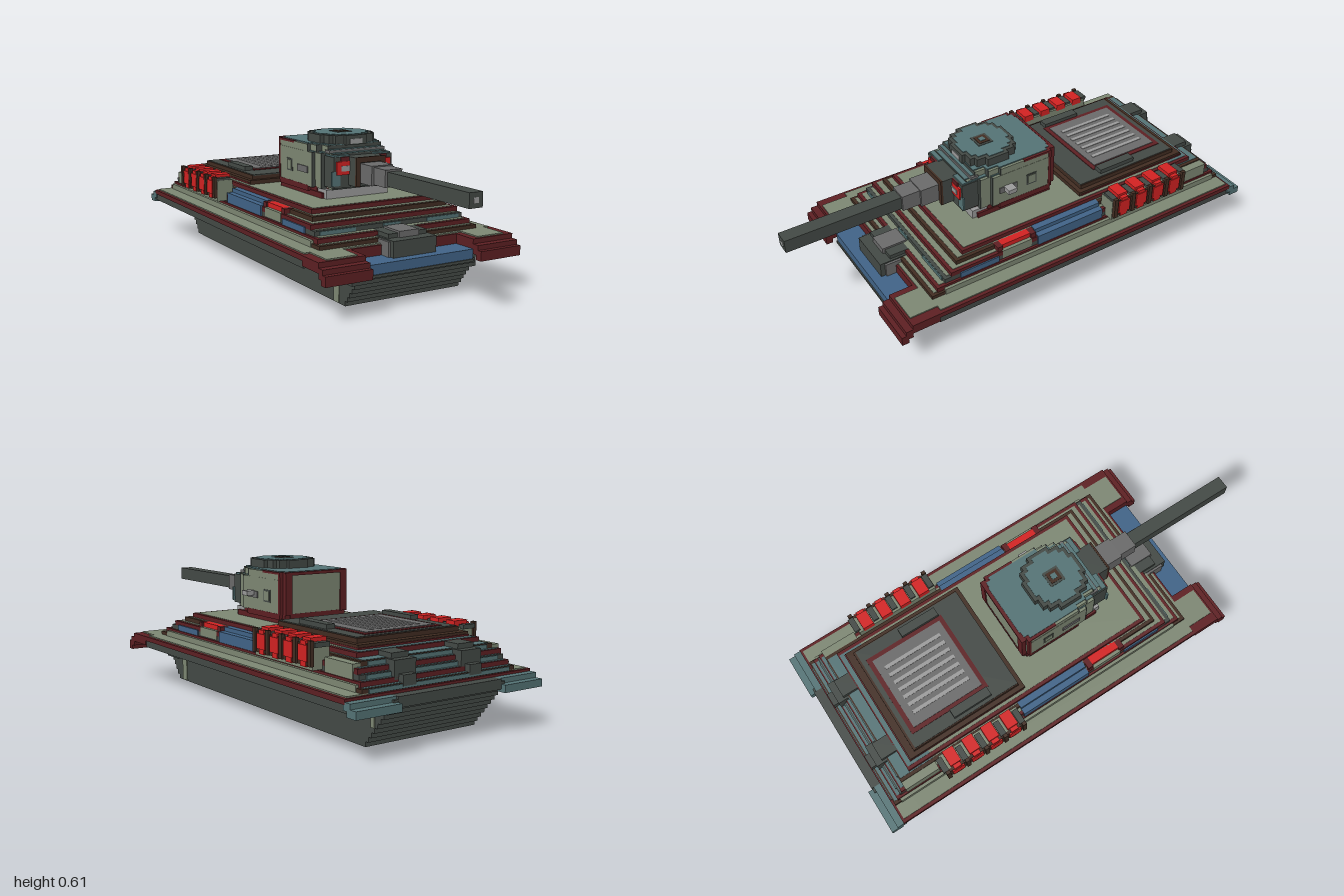
import * as THREE from 'three';

const mat = (name, color) => {
  const m = new THREE.MeshStandardMaterial({ color });
  m.name = name;
  return m;
};

export function createModel() {
  const model = new THREE.Group();
  model.name = 'tank';
  const maroon = mat('maroon', 0x5e2023), brown = mat('brown', 0x422d22);
  const dark = mat('darkGreenGrey', 0x444a46), khaki = mat('khaki', 0x7e8874);
  const teal = mat('teal', 0x557476), blue = mat('blue', 0x416488);
  const grey = mat('grey', 0x6b6b6b), pale = mat('paleGrey', 0x9c9c9c);
  const red = mat('brightRed', 0xd42222);

  let parent = model;
  const group = (name) => {
    parent = new THREE.Group();
    parent.name = name;
    model.add(parent);
  };
  // Box given by its limits on each axis
  const box = (name, m, x0, x1, y0, y1, z0, z1) => {
    const mesh = new THREE.Mesh(new THREE.BoxGeometry(x1 - x0, y1 - y0, z1 - z0), m);
    mesh.position.set((x0 + x1) / 2, (y0 + y1) / 2, (z0 + z1) / 2);
    mesh.name = name;
    parent.add(mesh);
  };
  const mid = (name, m, w, ...r) => box(name, m, -w, w, ...r);
  const pair = (name, m, x0, x1, ...r) => {
    box(name + 'Left', m, x0, x1, ...r);
    box(name + 'Right', m, -x1, -x0, ...r);
  };

  // Lower hull: stacked courses, flaring toward both ends
  group('lowerHull');
  mid('bellyPlate', pale, 0.265, -0.002, 0, -0.82, 0.57);
  for (let i = 0; i < 10; i++) {
    const y = i * 0.02;
    mid('hullCourse', dark, 0.27, y, y + 0.02,
      -0.83 - i * 0.0165, i < 7 ? 0.58 + i * 0.016 : 0.57);
  }
  pair('hullShoulder', dark, 0.265, 0.29, 0.1, 0.17, 0.55, 0.66);
  pair('hullSideStripe', khaki, 0.265, 0.274, 0.003, 0.17, 0.5, 0.54);
  pair('rearSideStripe', khaki, 0.265, 0.274, 0.08, 0.16, -0.88, -0.86);
  mid('nosePlate', blue, 0.25, 0.14, 0.18, 0.56, 0.69);
  mid('noseEdge', dark, 0.25, 0.13, 0.141, 0.6, 0.695);
  mid('tailPlate', dark, 0.25, 0.17, 0.21, -0.98, -0.9);

  // Fenders and mudguards
  group('fenders');
  mid('fenderBase', dark, 0.445, 0.17, 0.2, -0.95, 0.57);
  mid('fenderRim', maroon, 0.45, 0.2, 0.22, -0.94, 0.58);
  mid('fenderApron', maroon, 0.25, 0.18, 0.22, 0.56, 0.585);
  pair('fenderTop', khaki, 0.35, 0.435, 0.22, 0.225, -0.92, 0.56);
  mid('fenderRearTop', khaki, 0.435, 0.22, 0.225, -0.93, -0.85);
  mid('fenderFrontTop', khaki, 0.34, 0.22, 0.225, 0.5, 0.575);
  pair('mudguardUpper', maroon, 0.25, 0.45, 0.18, 0.22, 0.57, 0.69);
  pair('mudguardStep', maroon, 0.25, 0.45, 0.16, 0.2, 0.69, 0.72);
  pair('mudguardLip', maroon, 0.25, 0.45, 0.14, 0.18, 0.71, 0.74);
  pair('mudguardPanel', khaki, 0.28, 0.41, 0.22, 0.225, 0.56, 0.68);
  pair('rearMudguard', teal, 0.25, 0.45, 0.18, 0.21, -0.97, -0.93);
  pair('rearMudguardLip', teal, 0.25, 0.45, 0.16, 0.19, -1, -0.95);

  // Upper hull: stepped tiers with a trim edge and coloured treads
  group('upperHull');
  const tiers = [
    [0.37, -0.93, 0.56, brown], [0.36, -0.91, 0.53, maroon],
    [0.35, -0.89, 0.49, dark], [0.35, -0.88, 0.46, maroon],
    [0.32, -0.86, 0.42, brown], [0.3, -0.81, 0.38, maroon],
  ];
  tiers.forEach(([w, z0, z1, m], i) => {
    const y = 0.22 + i * 0.02;
    mid('tier', m, w, y, y + 0.02, z0, z1);
    mid('tierTread', khaki, w - 0.015, y + 0.02, y + 0.022, -0.7, z1 - 0.015);
    mid('rearTread', teal, w - 0.015, y + 0.02, y + 0.022, z0 + 0.006, -0.7);
    if (i % 2 === 0) mid('rearRiser', teal, w - 0.03, y + 0.002, y + 0.018, z0 - 0.004, z0);
  });
  pair('sideSkirt', khaki, 0.355, 0.373, 0.222, 0.25, -0.9, 0.5);
  pair('rearSidePanel', khaki, 0.31, 0.356, 0.255, 0.315, -0.86, -0.7);
  pair('frontInset', teal, 0.17, 0.33, 0.262, 0.278, 0.485, 0.494);
  mid('frontCentreInset', teal, 0.04, 0.262, 0.278, 0.485, 0.494);
  pair('sidePanelLow', blue, 0.3, 0.357, 0.26, 0.305, -0.28, 0.05);
  pair('sidePanelHigh', blue, 0.29, 0.33, 0.3, 0.323, -0.28, 0.05);
  pair('sidePanelFront', blue, 0.3, 0.356, 0.245, 0.285, 0.24, 0.42);
  // Side lamps set between end blocks
  pair('sideLampBase', khaki, 0.3, 0.352, 0.265, 0.302, 0.08, 0.22);
  pair('sideLamp', red, 0.3, 0.337, 0.3, 0.322, 0.08, 0.215);
  pair('sideLampFrontBlock', maroon, 0.3, 0.345, 0.28, 0.322, 0.215, 0.24);
  pair('sideLampRearBlock', maroon, 0.3, 0.345, 0.28, 0.322, 0.055, 0.08);

  // Nose hatch
  group('noseHatch');
  mid('hatchFrame', grey, 0.11, 0.172, 0.24, 0.5, 0.63);
  mid('hatchBody', dark, 0.1, 0.178, 0.245, 0.5, 0.65);
  mid('hatchTop', dark, 0.09, 0.24, 0.262, 0.48, 0.6);
  mid('hatchVisor', grey, 0.045, 0.242, 0.27, 0.5, 0.61);

  // Engine deck with ribbed grille
  group('engineDeck');
  mid('deckBase', brown, 0.27, 0.34, 0.36, -0.78, -0.22);
  mid('deckTrim', maroon, 0.272, 0.343, 0.35, -0.785, -0.23);
  mid('deckUpper', brown, 0.25, 0.36, 0.378, -0.75, -0.24);
  mid('deckPlate', dark, 0.245, 0.376, 0.381, -0.74, -0.24);
  mid('grilleFrame', maroon, 0.19, 0.378, 0.384, -0.72, -0.35);
  mid('grillePanel', grey, 0.17, 0.382, 0.387, -0.7, -0.37);
  for (let i = -3; i <= 3; i++)
    box('grilleRib', pale, i * 0.038 - 0.008, i * 0.038 + 0.008, 0.383, 0.389, -0.67, -0.4);
  pair('deckHandle', dark, 0.19, 0.23, 0.38, 0.4, -0.54, -0.36);
  pair('exhaust', dark, 0.11, 0.21, 0.25, 0.32, -0.91, -0.8);
  pair('exhaustTop', dark, 0.12, 0.2, 0.32, 0.34, -0.88, -0.78);
  pair('exhaustOutlet', dark, 0.13, 0.19, 0.23, 0.27, -0.935, -0.88);

  // Stowed drums along both sides
  group('sideDrums');
  pair('drumRack', khaki, 0.32, 0.395, 0.265, 0.358, -0.68, -0.3);
  pair('drumRackEdge', brown, 0.39, 0.402, 0.28, 0.36, -0.675, -0.305);
  for (let i = 0; i < 5; i++) {
    const z = -0.31 - i * 0.092;
    pair('drumBand', brown, 0.395, 0.41, 0.28, 0.375, z - 0.01, z + 0.008);
    pair('drumBandTop', dark, 0.33, 0.395, 0.35, 0.368, z - 0.018, z + 0.008);
    if (i === 4) break;
    pair('drumTop', red, 0.318, 0.388, 0.35, 0.38, z - 0.072, z - 0.022);
    pair('drumSide', red, 0.36, 0.408, 0.295, 0.355, z - 0.075, z - 0.019);
    pair('drumCore', red, 0.36, 0.405, 0.275, 0.37, z - 0.064, z - 0.03);
  }

  // Turret shell: nested blocks give the chamfered corners
  group('turret');
  mid('turretRing', maroon, 0.16, 0.34, 0.365, -0.14, 0.22);
  mid('turretChin', pale, 0.15, 0.342, 0.38, 0.1, 0.24);
  const blocks = [[0.17, -0.13, 0.15], [0.155, -0.15, 0.2], [0.13, -0.155, 0.25]];
  for (const [w, z0, z1] of blocks) {
    mid('turretFoot', maroon, w + 0.001, 0.36, 0.384, z0 - 0.001, z1 - 0.03);
    mid('turretWall', khaki, w, 0.38, 0.525, z0, z1);
    mid('turretFace', dark, w, 0.38, 0.527, z1, z1 + 0.005);
    mid('turretUpper', khaki, w - 0.001, 0.525, 0.555, z0, z1 - 0.04);
    mid('turretUpperFace', dark, w - 0.001, 0.525, 0.557, z1 - 0.04, z1 - 0.035);
    mid('turretRoofRim', maroon, w, 0.548, 0.557, z0, z1 - 0.15);
    mid('turretRoof', teal, w - 0.012, 0.553, 0.56, z0 + 0.01, z1 - 0.036);
    mid('turretBrow', teal, w - 0.012, 0.525, 0.53, z1 - 0.04, z1 + 0.004);
  }
  mid('browBand', grey, 0.135, 0.528, 0.54, 0.2, 0.235);
  mid('browTread', teal, 0.125, 0.538, 0.543, 0.2, 0.23);
  pair('rearCorner', maroon, 0.125, 0.158, 0.38, 0.558, -0.16, -0.14);
  pair('rearSideEdge', maroon, 0.15, 0.171, 0.38, 0.558, -0.135, -0.122);
  mid('rearTopEdge', maroon, 0.14, 0.545, 0.558, -0.16, -0.15);
  // Cheeks beside the gun
  pair('cheek', dark, 0.06, 0.14, 0.39, 0.518, 0.2, 0.28);
  pair('cheekTop', teal, 0.06, 0.135, 0.518, 0.524, 0.2, 0.275);
  pair('cheekPanel', teal, 0.11, 0.15, 0.4, 0.46, 0.275, 0.283);
  pair('cheekLampFrame', red, 0.065, 0.13, 0.445, 0.5, 0.28, 0.288);
  pair('cheekLamp', pale, 0.065, 0.11, 0.46, 0.482, 0.283, 0.291);
  pair('cheekCap', maroon, 0.065, 0.11, 0.5, 0.518, 0.278, 0.286);
  // Side fittings
  box('periscopeArm', pale, 0.16, 0.21, 0.445, 0.465, 0.06, 0.1);
  pair('sidePortRim', dark, 0.165, 0.172, 0.425, 0.478, -0.062, -0.012);
  pair('sidePort', khaki, 0.165, 0.174, 0.432, 0.471, -0.055, -0.019);
  pair('sideSlot', grey, 0.165, 0.174, 0.435, 0.463, 0.035, 0.12);

  // Cupola: stepped round hatch
  group('cupola');
  for (const [w, d] of [[0.13, 0.05], [0.11, 0.09], [0.09, 0.11], [0.05, 0.125]]) {
    mid('cupolaWall', dark, w, 0.555, 0.595, 0.1 - d, 0.1 + d);
    mid('cupolaTop', teal, w - 0.015, 0.592, 0.598, 0.115 - d, 0.085 + d);
  }
  mid('cupolaSight', pale, 0.03, 0.56, 0.58, 0.215, 0.228);
  mid('hatchRing', dark, 0.035, 0.595, 0.6, 0.065, 0.135);
  mid('hatchInner', brown, 0.025, 0.597, 0.602, 0.075, 0.125);
  mid('hatchCentre', teal, 0.012, 0.598, 0.604, 0.088, 0.112);

  // Gun: framed mantlet, collar and square barrel
  group('gun');
  mid('mantletBase', dark, 0.07, 0.4, 0.518, 0.22, 0.33);
  mid('mantletTop', brown, 0.07, 0.498, 0.52, 0.33, 0.339);
  pair('mantletSide', brown, 0.05, 0.07, 0.4, 0.5, 0.33, 0.339);
  mid('collarWide', grey, 0.05, 0.415, 0.495, 0.3, 0.42);
  mid('collarNarrow', grey, 0.04, 0.42, 0.49, 0.42, 0.5);
  mid('barrel', dark, 0.03, 0.425, 0.482, 0.48, 1);
  mid('muzzle', pale, 0.011, 0.443, 0.464, 0.995, 1.001);

  return model;
}
